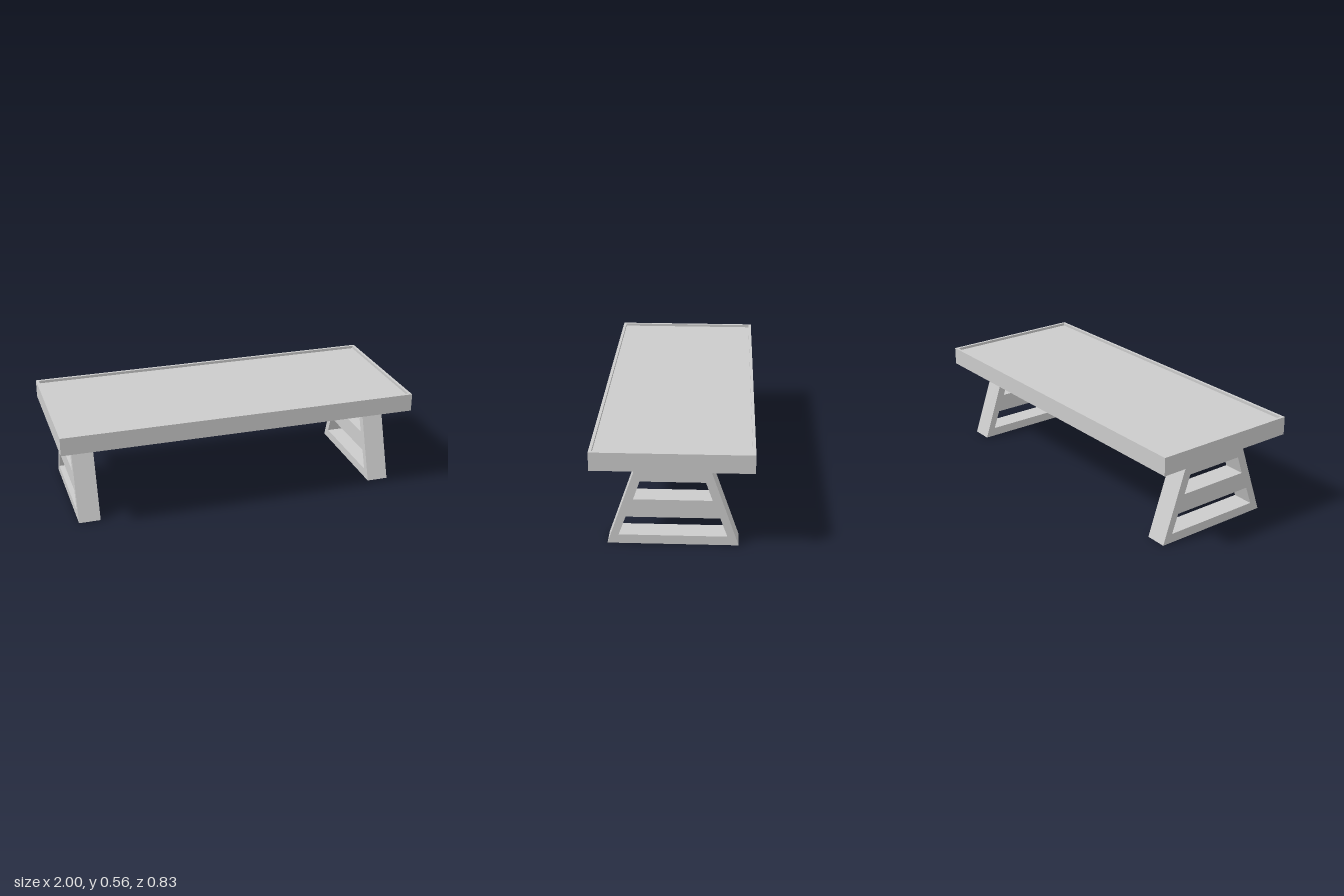
import * as THREE from 'three';
import { ConvexGeometry } from 'three/addons/geometries/ConvexGeometry.js';

const TOP = 0.555, UNDER = 0.455, HALF_X = 1, HALF_Z = 0.415, RIM = 0.016;
const LEG_IN = 0.795, LEG_OUT = 0.915, LEG_TOP_Z = 0.2, LEG_SHOULDER = 0.407;

const material = new THREE.MeshStandardMaterial({ color: 0xcccccc, flatShading: true });

function addMesh(group, name, geometry) {
  const mesh = new THREE.Mesh(geometry, material);
  mesh.name = name;
  group.add(mesh);
  return mesh;
}

// Symmetric trapezoid outline between two heights
function trapezoid(Type, y0, half0, y1, half1) {
  return new Type([[-half0, y0], [half0, y0], [half1, y1], [-half1, y1]]
    .map(([x, y]) => new THREE.Vector2(x, y)));
}

export function createModel() {
  const model = new THREE.Group();
  model.name = 'table';

  // Raised frame around the table top
  const frame = trapezoid(THREE.Shape, -HALF_Z, HALF_X, HALF_Z, HALF_X);
  frame.holes.push(trapezoid(THREE.Path, -HALF_Z + RIM, HALF_X - RIM, HALF_Z - RIM, HALF_X - RIM));
  const frameGeometry = new THREE.ExtrudeGeometry(frame, { depth: TOP - UNDER, bevelEnabled: false });
  frameGeometry.rotateX(-Math.PI / 2).translate(0, UNDER, 0);
  addMesh(model, 'topFrame', frameGeometry);

  // Slightly recessed panel inside the frame
  const thickness = TOP - UNDER - 0.015;
  addMesh(model, 'topPanel', new THREE.BoxGeometry(2 * (HALF_X - RIM), thickness, 2 * (HALF_Z - RIM)))
    .position.y = UNDER + thickness / 2;

  // Trapezoid leg side with two slots, extruded along x
  const side = new THREE.Shape([
    [-0.34, 0], [0.34, 0], [LEG_TOP_Z, LEG_SHOULDER], [LEG_TOP_Z, UNDER],
    [-LEG_TOP_Z, UNDER], [-LEG_TOP_Z, LEG_SHOULDER],
  ].map(([x, y]) => new THREE.Vector2(x, y)));
  side.holes.push(
    trapezoid(THREE.Path, 0.05, 0.281, 0.155, 0.243),
    trapezoid(THREE.Path, 0.256, 0.203, 0.358, 0.168),
  );
  const legGeometry = new THREE.ExtrudeGeometry(side, { depth: LEG_OUT - LEG_IN, bevelEnabled: false });
  legGeometry.rotateY(Math.PI / 2);

  for (const [label, s] of [['left', 1], ['right', -1]]) {
    addMesh(model, label + 'Leg', legGeometry).position.x = s > 0 ? LEG_IN : -LEG_OUT;

    // Wedge brace: full width at the middle, narrow and deep at the leg
    const points = [];
    for (const z of [-1, 1]) {
      points.push(
        new THREE.Vector3(0, UNDER, z * HALF_Z),
        new THREE.Vector3(s * LEG_IN, UNDER, z * LEG_TOP_Z),
        new THREE.Vector3(s * LEG_IN, LEG_SHOULDER, z * LEG_TOP_Z),
      );
    }
    addMesh(model, label + 'Brace', new ConvexGeometry(points));
  }
  return model;
}
